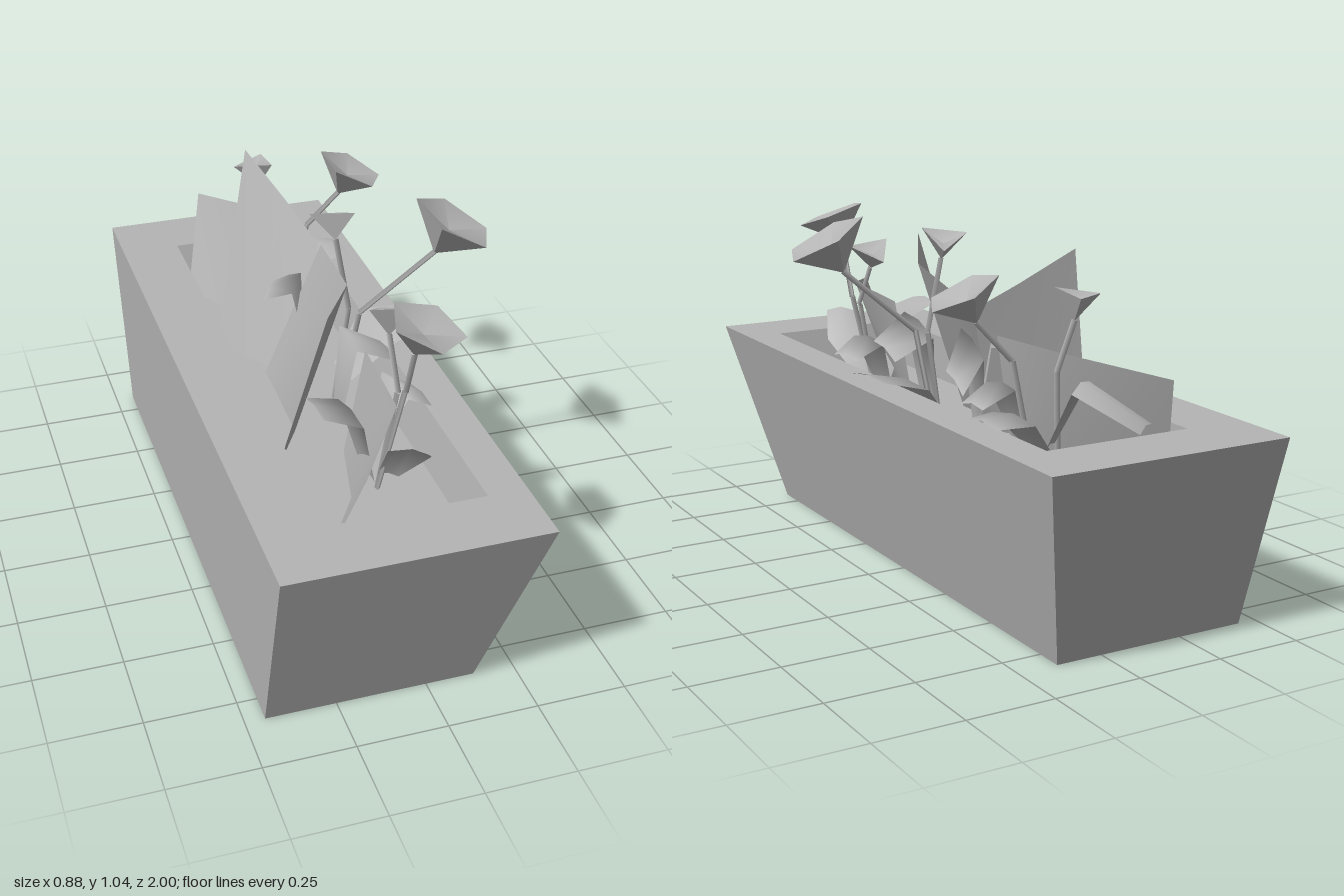
import * as THREE from 'three';

const grey = new THREE.MeshStandardMaterial({ color: 0xb4b4b4, side: THREE.DoubleSide });
grey.name = 'plain grey';
const V = (a) => new THREE.Vector3(...a);

function add(parent, geometry, name) {
  const mesh = new THREE.Mesh(geometry, grey);
  mesh.name = name;
  parent.add(mesh);
  return mesh;
}

// surface spanned between cross-section rows of equal length
function loft(rows) {
  const n = rows[0].length, index = [];
  for (let r = 0; r < rows.length - 1; r++) {
    for (let i = 0; i < n - 1; i++) {
      const a = r * n + i, b = a + n;
      index.push(a, a + 1, b, a + 1, b + 1, b);
    }
  }
  const g = new THREE.BufferGeometry();
  g.setAttribute('position', new THREE.Float32BufferAttribute(rows.flat(2), 3));
  g.setIndex(index);
  g.computeVertexNormals();
  return g;
}

// rectangular ring of corners at height y
const ring = (x0, x1, z, y) =>
  [[x0, y, z], [x1, y, z], [x1, y, -z], [x0, y, -z], [x0, y, z]];

function flat(g) {
  const f = g.toNonIndexed();
  f.computeVertexNormals();
  return f;
}

// inverted cone blossom, rim centred on c, leaning along axis, on a bent stem
function flower(parent, { c, axis, r, depth, sides, spin, stem }) {
  const plant = new THREE.Group();
  plant.name = 'flower';
  const dir = V(axis).normalize();
  const cone = new THREE.ConeGeometry(r, depth, sides, 1, true, spin);
  cone.rotateX(Math.PI);
  cone.translate(0, -depth / 2, 0);
  const petals = add(plant, flat(cone), 'blossom');
  petals.quaternion.setFromUnitVectors(new THREE.Vector3(0, 1, 0), dir);
  petals.position.copy(V(c));
  // shallow inner face of the blossom
  const inner = new THREE.ConeGeometry(r, depth * 0.3, sides, 1, true, spin);
  inner.rotateX(Math.PI);
  inner.translate(0, -depth * 0.15, 0);
  const face = add(plant, inner, 'blossomFace');
  face.quaternion.copy(petals.quaternion);
  face.position.copy(petals.position);

  const path = [V(c).addScaledVector(dir, -depth * 0.95), ...stem.map(V)];
  for (let i = 0; i < path.length - 1; i++) {
    const d = path[i + 1].clone().sub(path[i]);
    const seg = add(plant, new THREE.CylinderGeometry(0.009, 0.009, d.length(), 3), 'stem');
    seg.position.copy(path[i]).addScaledVector(d, 0.5);
    seg.quaternion.setFromUnitVectors(new THREE.Vector3(0, 1, 0), d.normalize());
  }
  parent.add(plant);
}

export function createModel() {
  const model = new THREE.Group();
  model.name = 'flowerPlanter';

  // trough: outside, rim, inside and soil floor
  const trough = loft([
    ring(-0.445, 0.135, 0.83, 0), ring(-0.445, 0.27, 1, 0.56),
    ring(-0.27, 0.16, 0.805, 0.56), ring(-0.27, 0.13, 0.76, 0.42),
  ]);
  add(model, flat(trough), 'trough');
  const slab = (x0, x1, z, y, name, up) => {
    const g = new THREE.PlaneGeometry(x1 - x0, 2 * z).rotateX(up ? -Math.PI / 2 : Math.PI / 2);
    add(model, g, name).position.set((x0 + x1) / 2, y, 0);
  };
  slab(-0.445, 0.135, 0.83, 0, 'base', false);
  slab(-0.27, 0.13, 0.76, 0.42, 'soil', true);

  // broad leaves: base row, then top row
  const broad = [
    [[[-0.25, 0.42, 0.75], [-0.11, 0.42, 0.52], [-0.06, 0.42, 0.3]],
      [[-0.18, 0.71, 0.85], [-0.02, 0.745, 0.61], [0, 0.735, 0.3]]],
    [[[-0.26, 0.42, 0.33], [-0.16, 0.42, 0.16], [-0.15, 0.42, -0.18]],
      [[-0.145, 0.92, 0.42], [-0.01, 0.87, 0.17], [0.03, 0.81, -0.2]]],
    [[[-0.25, 0.42, -0.38], [-0.17, 0.42, -0.26], [-0.09, 0.42, -0.14]],
      [[-0.11, 1, -0.51], [-0.03, 0.89, -0.36], [0.03, 0.8, -0.22]]],
    [[[-0.25, 0.42, -0.75], [-0.11, 0.42, -0.52], [-0.06, 0.42, -0.28]],
      [[-0.18, 0.71, -0.86], [-0.02, 0.745, -0.6], [0, 0.74, -0.3]]],
  ];
  broad.forEach((rows) => add(model, loft(rows), 'broadLeaf'));

  // small arching leaves: root, bend and tip, each with a half-width vector
  const small = [
    [[0.05, 0.45, -0.05], [0.17, 0.58, -0.08], [0.28, 0.6, -0.06], [0.02, 0, 0.11]],
    [[0.02, 0.45, -0.6], [0.13, 0.59, -0.6], [0.22, 0.58, -0.59], [0.01, 0, 0.09]],
    [[0.02, 0.45, 0.33], [0.08, 0.62, 0.32], [0.16, 0.57, 0.32], [0.01, 0, 0.08]],
    [[-0.05, 0.45, 0.48], [-0.1, 0.66, 0.48], [-0.2, 0.69, 0.48], [0.01, 0, 0.08]],
    [[0, 0.45, -0.2], [-0.04, 0.7, -0.2], [-0.13, 0.68, -0.2], [-0.04, 0, 0.07]],
    [[0.03, 0.5, -0.62], [0, 0.68, -0.71], [-0.12, 0.58, -0.83], [0.06, 0, -0.05]],
    [[-0.03, 0.45, 0.15], [0, 0.69, 0.15], [0.12, 0.62, 0.14], [0.01, -0.02, -0.11]],
    [[0, 0.45, -0.2], [0.02, 0.7, -0.2], [0.1, 0.6, -0.24], [0.01, -0.03, -0.08]],
    [[0, 0.45, -0.45], [0.06, 0.63, -0.42], [0.15, 0.58, -0.42], [0.01, 0, 0.06]],
    [[0, 0.45, 0.5], [0.03, 0.57, 0.58], [0, 0.64, 0.68], [0.05, 0, 0.03]],
  ];
  small.forEach(([root, bend, tip, w]) => {
    const row = (p, k) => [-k, 0, k].map((s) => [
      p[0] + w[0] * s, p[1] + w[1] * s + 0.015 * (1 - Math.abs(s)), p[2] + w[2] * s,
    ]);
    add(model, loft([row(root, 0.5), row(bend, 1), row(tip, 0.75)]), 'smallLeaf');
  });

  // large five-sided and small three-sided flowers
  const flowers = [
    { c: [0.33, 0.98, 0.095], axis: [0.46, 0.86, 0.12], r: 0.125, depth: 0.115, sides: 5, spin: 0.1,
      stem: [[0.07, 0.7, 0.04], [0.03, 0.42, 0]] },
    { c: [0.215, 0.91, -0.48], axis: [0.42, 0.9, 0.1], r: 0.105, depth: 0.095, sides: 5, spin: 0.2,
      stem: [[0.08, 0.72, -0.51], [0.02, 0.42, -0.52]] },
    { c: [0.055, 0.97, 0.615], axis: [0.28, 0.93, 0.2], r: 0.108, depth: 0.095, sides: 5, spin: 3.1,
      stem: [[0.04, 0.72, 0.51], [-0.03, 0.42, 0.5]] },
    { c: [0.025, 0.98, -0.05], axis: [0.1, 0.9, -0.4], r: 0.075, depth: 0.075, sides: 3, spin: 0.5,
      stem: [[0.05, 0.7, 0], [0, 0.42, 0.02]] },
    { c: [-0.05, 0.905, -0.62], axis: [-0.1, 1, -0.1], r: 0.07, depth: 0.075, sides: 3, spin: 0.5,
      stem: [[0, 0.7, -0.6], [-0.02, 0.42, -0.58]] },
    { c: [0.04, 0.89, 0.365], axis: [0.1, 0.85, -0.4], r: 0.075, depth: 0.07, sides: 3, spin: 0,
      stem: [[0.03, 0.7, 0.48], [-0.02, 0.42, 0.48]] },
  ];
  flowers.forEach((f) => flower(model, f));

  return model;
}
